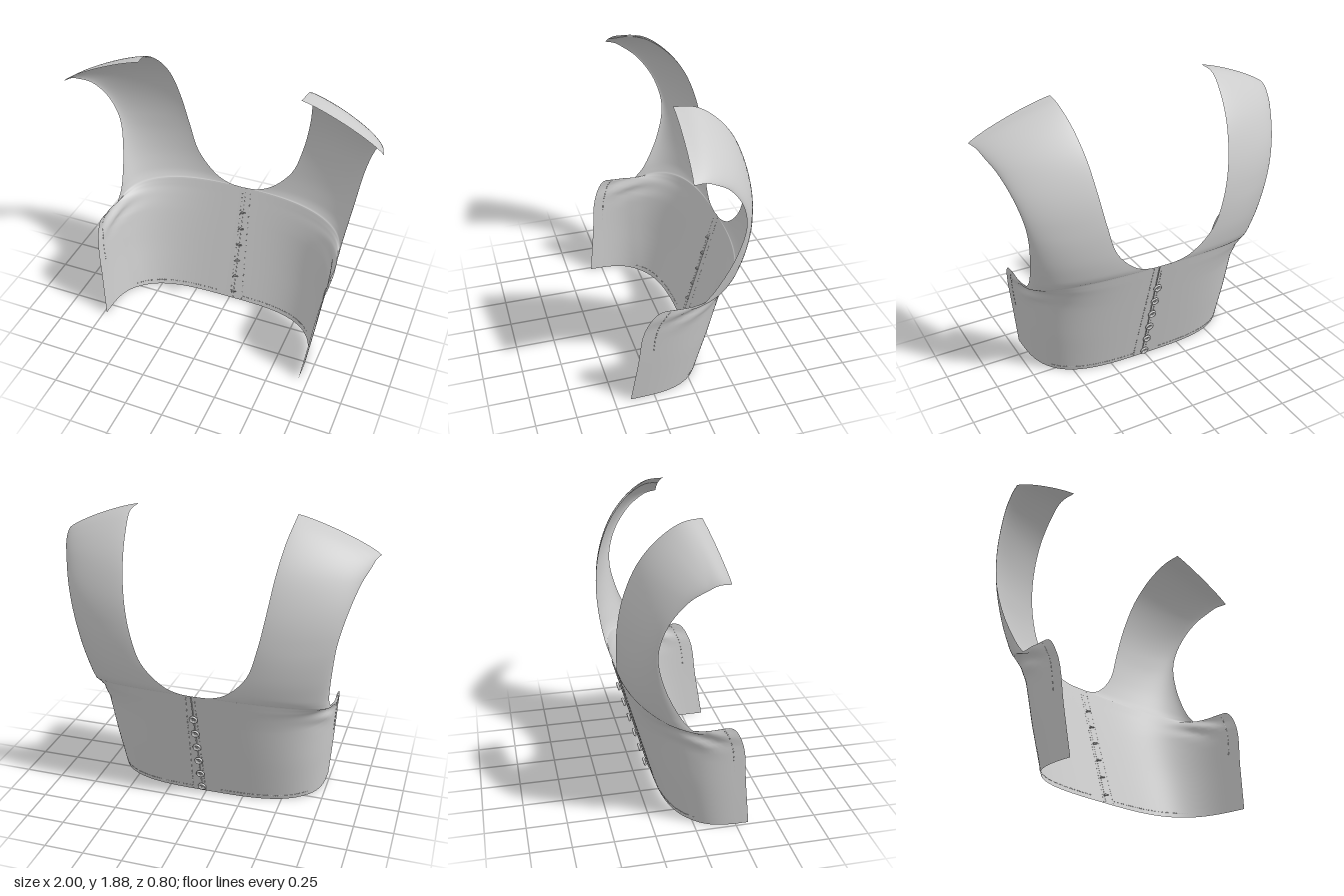
import * as THREE from 'three';
import { mergeVertices, mergeGeometries } from 'three/addons/utils/BufferGeometryUtils.js';

const V = (x, y, z) => new THREE.Vector3(x, y, z);
const backZ = y => -0.135 - 0.28 * y;

// Each row runs from the inner edge (centre back, then neckline) to the
// outer edge (side seam, then armhole). The last value is its roundness.
const rows = [
  [[0, 0, backZ(0)], [0.69, 0, 0.4], 3.3],
  [[0, 0.3, backZ(0.3)], [0.73, 0.3, 0.36], 3.2],
  [[0, 0.57, backZ(0.57)], [0.765, 0.57, 0.325], 3],
  [[0, 0.66, backZ(0.66)], [0.785, 0.7, 0.24], 2.9],
  [[0, 0.74, backZ(0.74)], [0.775, 0.69, 0.1], 2.8],
  [[0, 0.81, backZ(0.81)], [0.77, 0.68, 0], 2.6],
  [[0.1, 0.818, -0.366], [0.77, 0.725, -0.05], 2.4],
  [[0.2, 0.86, -0.377], [0.775, 0.79, -0.1], 2.2],
  [[0.33, 1.0, -0.395], [0.8, 1.0, -0.2], 1.8],
  [[0.395, 1.2, -0.4], [0.83, 1.22, -0.245], 1.5],
  [[0.435, 1.4, -0.37], [0.875, 1.4, -0.2], 1.45],
  [[0.465, 1.6, -0.29], [0.925, 1.54, -0.1], 1.4],
  [[0.49, 1.75, -0.17], [0.96, 1.6, -0.02], 1.35],
  [[0.51, 1.84, -0.04], [0.98, 1.635, 0.05], 1.25],
  [[0.505, 1.855, 0.085], [1.0, 1.645, 0.125], 1.2],
];
const LAST = rows.length - 1, NECK = 5;
const curve = (list, k) => new THREE.CatmullRomCurve3(list.map(r => V(...r[k])));
const centreLine = curve(rows.slice(0, NECK + 1), 0);
const neckline = curve(rows.slice(NECK), 0);
const outerEdge = curve(rows, 1);

// Point on the cloth: s is the row, u goes from inner to outer edge
function clothPoint(side, s, u) {
  const a = s <= NECK ? centreLine.getPoint(s / NECK) : neckline.getPoint((s - NECK) / (LAST - NECK));
  const b = outerEdge.getPoint(s / LAST);
  const i = Math.min(Math.floor(s), LAST - 1);
  const n = THREE.MathUtils.lerp(rows[i][2], rows[i + 1][2], s - i);
  const t = u * Math.PI / 2;
  const fx = Math.pow(Math.sin(t), 2 / n);
  const f = 1 - Math.pow(Math.max(Math.cos(t), 0), 2 / n);
  const p = V(a.x + (b.x - a.x) * fx, a.y + (b.y - a.y) * f, a.z + (b.z - a.z) * f);
  // Soft folds under the arm
  const fold = Math.exp(-(((p.y - 0.64) / 0.07) ** 2) - ((p.z - 0.05) / 0.16) ** 2);
  if (p.x > 0.5) p.x += 0.012 * fold * Math.sin(p.y * 55 + p.z * 18);
  // The right half is slightly wider at the hem and shorter at the front
  if (side < 0) {
    p.x *= 1 + 0.06 * Math.max(0, 1 - p.y / 0.8);
    if (p.z > 0) p.z *= 0.83;
    p.y += 0.02 * THREE.MathUtils.smoothstep(p.y, 1.2, 1.7);
  }
  p.x *= side;
  return p;
}

function halfCloth(side) {
  const pos = [], idx = [], R = LAST * 5, C = 32;
  for (let i = 0; i <= R; i++)
    for (let j = 0; j <= C; j++) pos.push(...clothPoint(side, i / 5, j / C).toArray());
  for (let i = 0; i < R; i++)
    for (let j = 0; j < C; j++) {
      const a = i * (C + 1) + j, b = a + 1, c = a + C + 1, d = c + 1;
      if (side > 0) idx.push(a, c, b, b, c, d);
      else idx.push(a, b, c, b, d, c);
    }
  const g = new THREE.BufferGeometry();
  g.setAttribute('position', new THREE.Float32BufferAttribute(pos, 3));
  g.setIndex(idx);
  return g;
}

export function createModel() {
  const model = new THREE.Group();
  const cloth = new THREE.MeshStandardMaterial({ color: 0xcccccc, side: THREE.DoubleSide });
  const solid = new THREE.MeshStandardMaterial({ color: 0xcccccc });
  const add = (parent, name, geo, mat = solid) => {
    const m = new THREE.Mesh(geo, mat);
    m.name = name;
    parent.add(m);
    return m;
  };

  // Garment back with wrapped sides and shoulder straps
  const body = mergeVertices(mergeGeometries([halfCloth(1), halfCloth(-1)]), 1e-4);
  body.computeVertexNormals();
  add(model, 'garmentBack', body, cloth);

  // Rows of short stitches
  const stitches = (name, count, at) => {
    const dashes = [];
    for (let i = 0; i < count; i++) {
      const path = new THREE.LineCurve3(at((i + 0.2) / count), at((i + 0.75) / count));
      dashes.push(new THREE.TubeGeometry(path, 1, 0.0025, 5));
    }
    add(model, name, mergeGeometries(dashes));
  };
  stitches('placketStitching', 32, t => V(0.09 - 0.03 * t, 0.81 * t, backZ(0.81 * t) - 0.001));
  stitches('frontPlacketStitching', 32, t => V(0.005, 0.78 * t, backZ(0.78 * t) - 0.001));
  for (const side of [1, -1]) {
    stitches('hemStitching', 40, t => clothPoint(side, 0.1, 0.02 + 0.6 * t));
    stitches('sideStitching', 14, t => clothPoint(side, 1.3 + 1.7 * t, 0.97));
  }

  // Overlapping placket edge
  const edge = new THREE.LineCurve3(V(0.025, 0.004, backZ(0) - 0.003), V(0.025, 0.81, backZ(0.81) - 0.003));
  add(model, 'placketEdge', new THREE.TubeGeometry(edge, 1, 0.004, 6));

  // Six dished buttons with shanks and inner thread knots
  const profile = [[0, 0.012], [0.013, 0.012], [0.018, 0.02], [0.024, 0.021], [0.028, 0.016],
    [0.027, 0.008], [0.02, 0.004], [0, 0.004]].reverse().map(p => new THREE.Vector2(...p));
  const buttonGeo = new THREE.LatheGeometry(profile, 24).rotateX(Math.PI / 2);
  const shankGeo = new THREE.CylinderGeometry(0.006, 0.006, 0.03, 8).rotateX(Math.PI / 2);
  const eyeGeo = new THREE.TorusGeometry(0.006, 0.0025, 6, 12);
  const knotGeo = new THREE.CapsuleGeometry(0.005, 0.03, 4, 8).rotateZ(Math.PI / 2 - 0.3);
  for (let i = 0; i < 6; i++) {
    const y = 0.053 + i * 0.117;
    const button = new THREE.Group();
    button.name = 'button';
    button.position.set(0.02, y, backZ(y));
    button.rotation.set(-0.273, Math.PI, 0);
    add(button, 'buttonDisc', buttonGeo).position.z = 0.006;
    add(button, 'buttonShank', shankGeo).position.z = -0.002;
    add(button, 'threadEye', eyeGeo).position.z = 0.019;
    add(button, 'threadKnot', knotGeo).position.set(-0.008, 0, -0.012);
    model.add(button);
  }
  return model;
}
